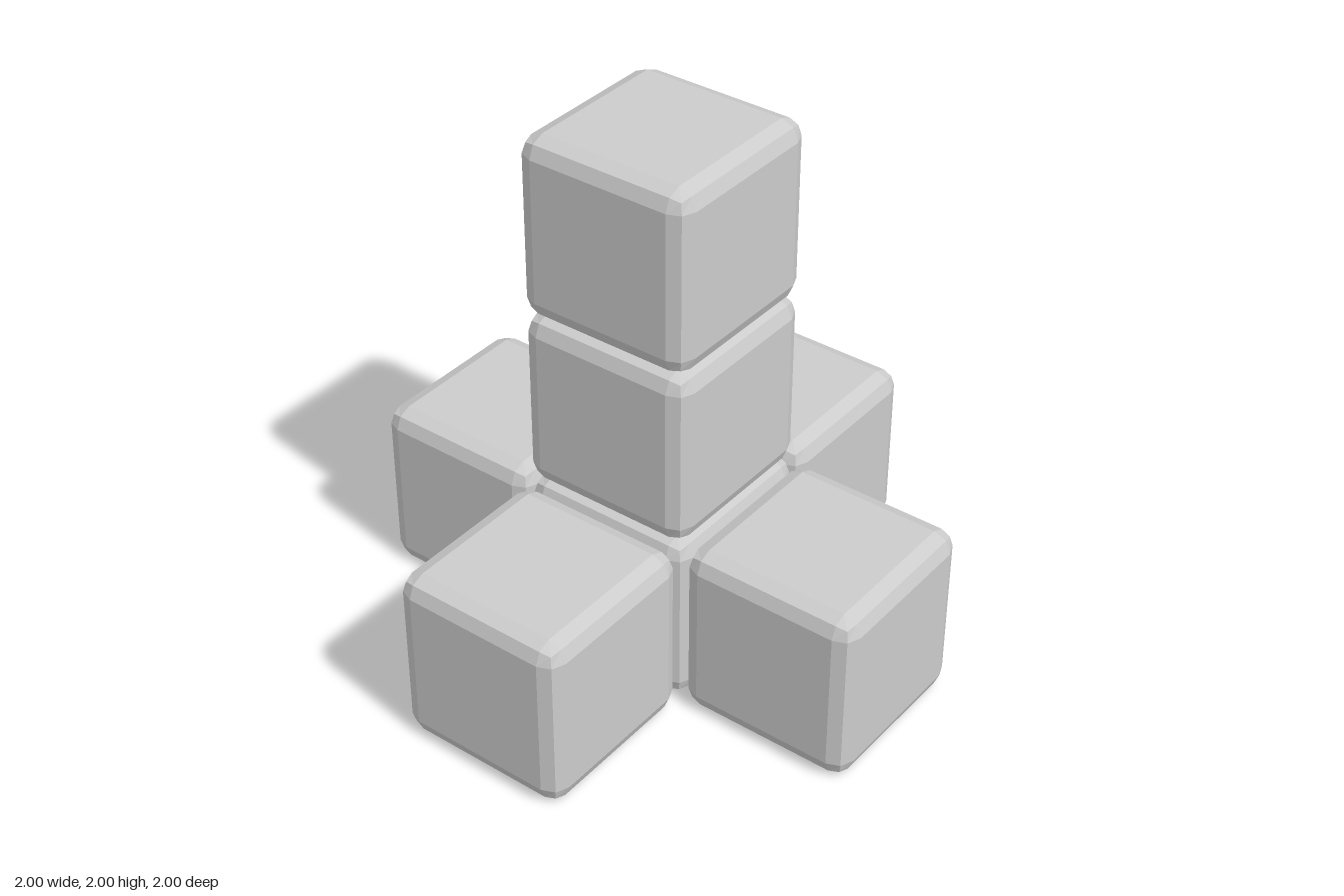
import * as THREE from 'three';
import { RoundedBoxGeometry } from 'three/addons/geometries/RoundedBoxGeometry.js';

export function createModel() {
  const model = new THREE.Group();
  model.name = 'cubeStack';

  const size = 2 / 3;
  const material = new THREE.MeshStandardMaterial({ color: 0xcccccc, flatShading: true });
  // one segment gives two flat facets around each edge
  const geometry = new RoundedBoxGeometry(size, size, size, 1, size / 10);

  // grid cells: a plus-shaped base with a column of two on its centre
  const cells = {
    baseCentre: [0, 0, 0],
    baseLeft: [1, 0, 0],
    baseRight: [-1, 0, 0],
    baseFront: [0, 0, 1],
    baseBack: [0, 0, -1],
    columnMiddle: [0, 1, 0],
    columnTop: [0, 2, 0],
  };
  for (const [name, [x, y, z]] of Object.entries(cells)) {
    const cube = new THREE.Mesh(geometry, material);
    cube.name = name + 'Cube';
    cube.position.set(x * size, (y + 0.5) * size, z * size);
    model.add(cube);
  }
  return model;
}
